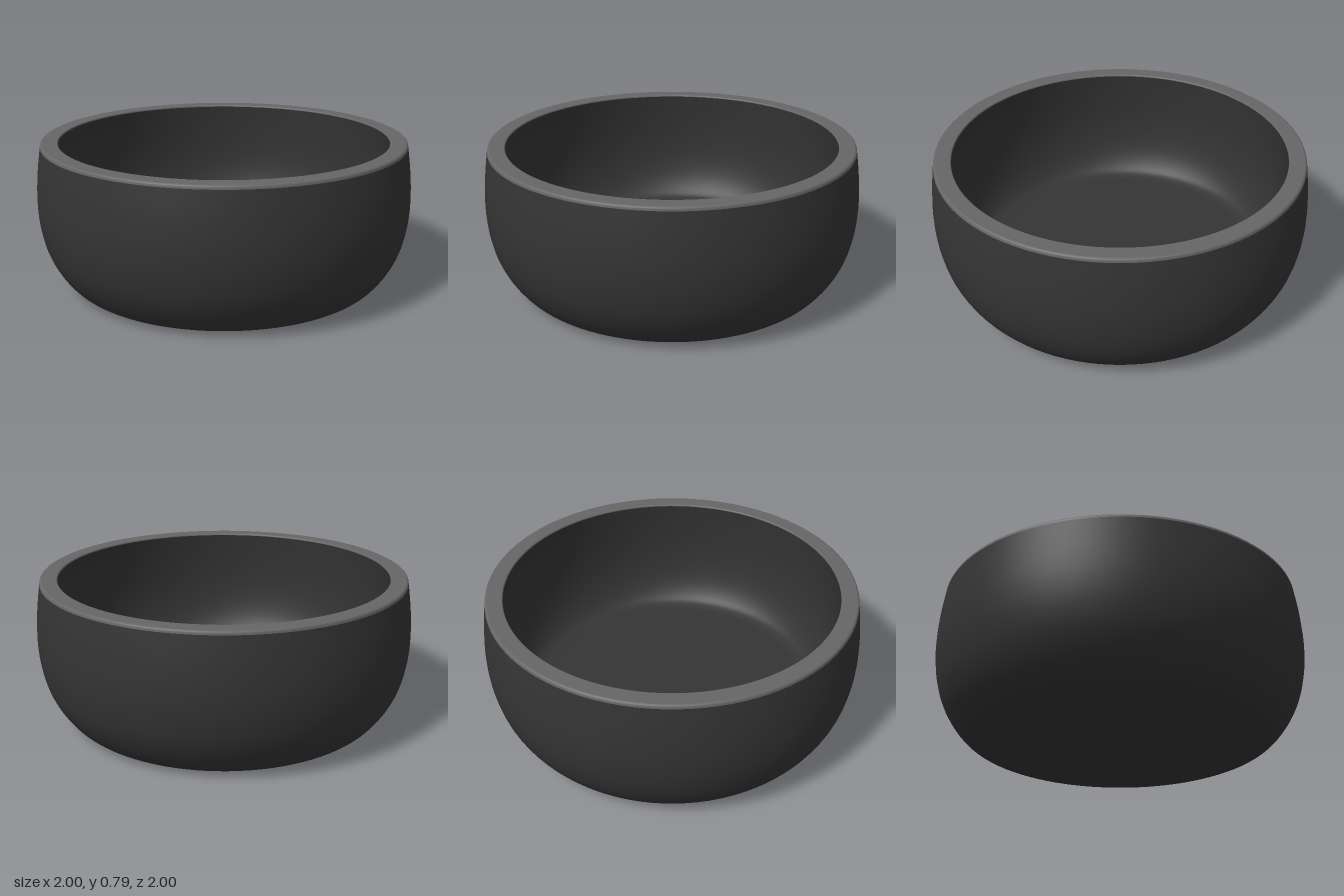
import * as THREE from 'three';

const SEGMENTS = 96;

// Smooth curve through a few [radius, height] points
function smooth(points, divisions) {
  return new THREE.SplineCurve(points.map(([r, y]) => new THREE.Vector2(r, y))).getPoints(divisions);
}

function lathe(name, points, material) {
  const mesh = new THREE.Mesh(new THREE.LatheGeometry(points, SEGMENTS), material);
  mesh.name = name;
  return mesh;
}

export function createModel() {
  const charcoal = new THREE.MeshStandardMaterial({ name: 'charcoal glaze', color: 0x343434 });
  const grey = new THREE.MeshStandardMaterial({ name: 'grey rim', color: 0x666666 });

  const bowl = new THREE.Group();
  bowl.name = 'bowl';

  // Flat base and bulging outer wall, drawn from the centre up to the rim
  const outer = [
    new THREE.Vector2(0, 0),
    new THREE.Vector2(0.72, 0),
    ...smooth([
      [0.77, 0.002], [0.82, 0.02], [0.87, 0.065], [0.92, 0.135], [0.96, 0.22],
      [0.986, 0.32], [0.998, 0.42], [0.999, 0.52], [0.99, 0.64], [0.973, 0.765],
    ], 40),
  ];
  bowl.add(lathe('outerWall', outer, charcoal));

  // Flat rim with a softened outer and inner edge
  const rim = smooth([[0.973, 0.765], [0.97, 0.779], [0.96, 0.785]], 6)
    .concat(smooth([[0.885, 0.785], [0.88, 0.782], [0.879, 0.776]], 4));
  bowl.add(lathe('rim', rim, grey));

  // Inner wall curving down into a flat floor
  const inner = [
    ...smooth([
      [0.879, 0.776], [0.893, 0.64], [0.9, 0.5], [0.893, 0.38],
      [0.872, 0.28], [0.84, 0.205], [0.8, 0.155], [0.75, 0.135],
    ], 32),
    new THREE.Vector2(0.7, 0.13),
    new THREE.Vector2(0, 0.13),
  ];
  bowl.add(lathe('innerWall', inner, charcoal));

  return bowl;
}
